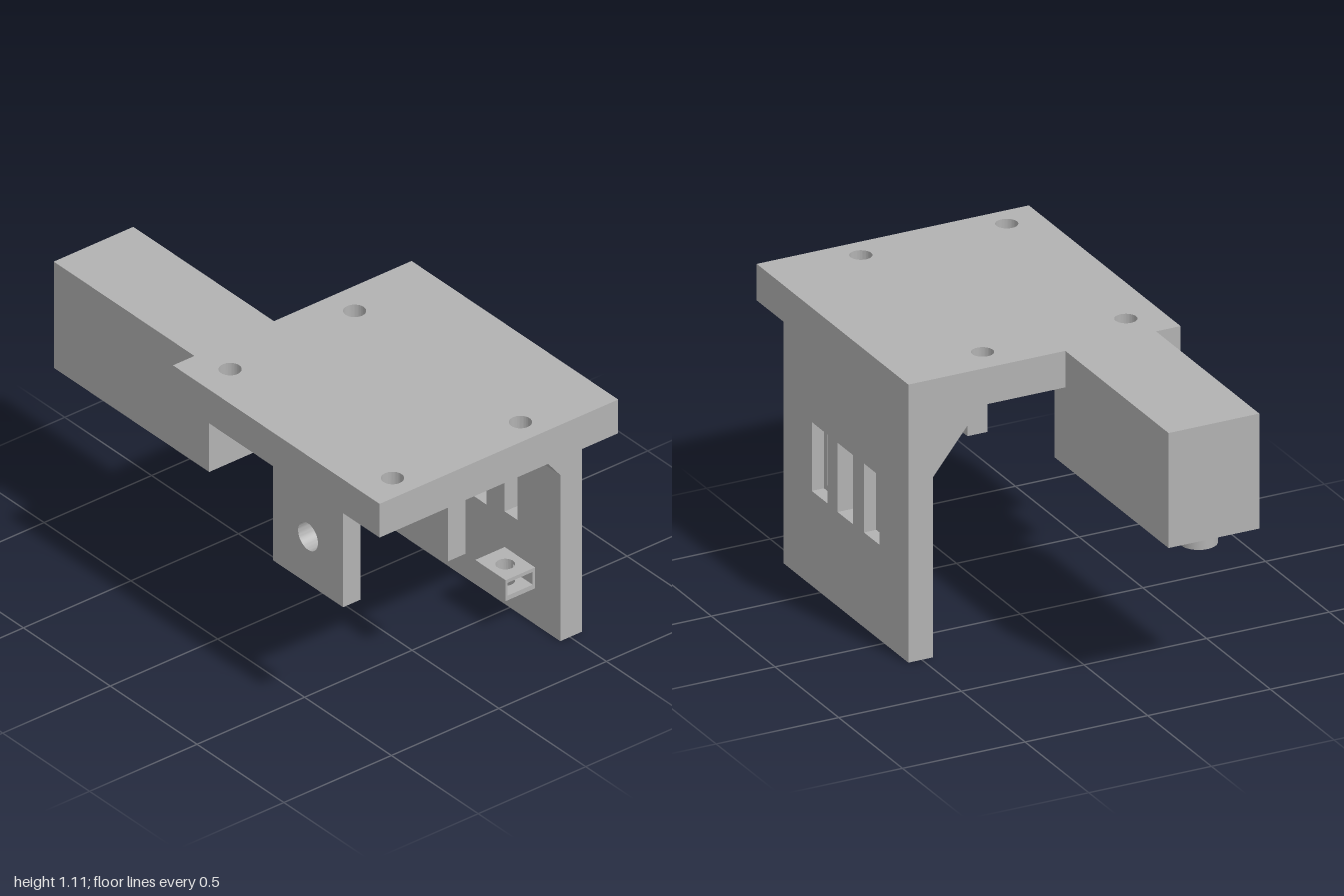
import * as THREE from 'three';
import { toCreasedNormals } from 'three/addons/utils/BufferGeometryUtils.js';

const outline = (points) => new THREE.Shape(points.map(([x, y]) => new THREE.Vector2(x, y)));
const rect = (x0, y0, x1, y1) => outline([[x0, y0], [x1, y0], [x1, y1], [x0, y1]]);
const circle = (x, y, r) => new THREE.Shape().absarc(x, y, r, 0, Math.PI * 2, false);

function extrude(shape, depth, steps = 1) {
  return new THREE.ExtrudeGeometry(shape, { depth, steps, bevelEnabled: false, curveSegments: 28 });
}

// Extrudes a shape, then widens its stepped holes level by level.
// bores: {x, y, w, h, W, H} half sizes, narrow and wide; levels: [height, isWide]
function boredPlate(shape, depth, bores, levels) {
  const steps = levels.length - 1;
  const g = extrude(shape, depth, steps);
  const p = g.attributes.position;
  for (let i = 0; i < p.count; i++) {
    const x = p.getX(i), y = p.getY(i);
    const b = bores.find((b) => Math.abs(x - b.x) < b.w + 1e-3 && Math.abs(y - b.y) < b.h + 1e-3);
    if (!b) continue;
    const [height, wide] = levels[Math.round((p.getZ(i) / depth) * steps)];
    p.setZ(i, height);
    if (wide) p.setXY(i, b.x + ((x - b.x) * b.W) / b.w, b.y + ((y - b.y) * b.H) / b.h);
  }
  g.computeVertexNormals();
  return g;
}

export function createModel() {
  const model = new THREE.Group();
  const grey = new THREE.MeshStandardMaterial({ color: 0xb2b2b2 });
  grey.name = 'plainGrey';

  const add = (name, geometry, parent = model) => {
    const mesh = new THREE.Mesh(toCreasedNormals(geometry, 0.5), grey);
    mesh.name = name;
    parent.add(mesh);
    return mesh;
  };
  // Shapes drawn in plan (x, -z) and raised from height y
  const addFlat = (name, geometry, y, parent) =>
    add(name, geometry.rotateX(-Math.PI / 2).translate(0, y, 0), parent);

  // Top plate with four screw holes countersunk from below
  const top = rect(-0.19, -0.555, 1, 0.555);
  const screws = [[-0.06, 0.185], [0.895, 0.185], [-0.04, -0.41], [0.895, -0.41]].map(
    ([x, y]) => ({ x, y, w: 0.042, h: 0.042, W: 0.081, H: 0.081 }));
  screws.forEach((s) => top.holes.push(circle(s.x, s.y, s.w)));
  addFlat('topPlate', boredPlate(top, 0.145, screws, [[0, true], [0.04, false], [0.145, false]]), 0.96);

  // Back wall: plain middle window, stepped windows on either side
  const wall = rect(-0.19, 0, 0.79, 0.96);
  wall.holes.push(rect(0.245, 0.375, 0.365, 0.65));
  const slots = [[0.0975, 0.034], [0.507, 0.037]].map(
    ([x, w]) => ({ x, y: 0.514, w, h: 0.116, W: 0.061, H: 0.137 }));
  slots.forEach((s) => wall.holes.push(rect(s.x - s.w, s.y - s.h, s.x + s.w, s.y + s.h)));
  add('backWall', boredPlate(wall, 0.1, slots,
    [[0, true], [0.05, true], [0.05, false], [0.1, false]]).translate(0, 0, -0.555));

  // Corner braces between wall and top plate
  for (const [name, x] of [['rightBrace', -0.19], ['leftBrace', 0.627]]) {
    const brace = outline([[0.455, 0.715], [0.455, 0.96], [0.26, 0.96]]);
    add(name, extrude(brace, 0.163).rotateY(Math.PI / 2).translate(x, 0, 0));
  }

  // Hanging lugs with a shared axle bore
  for (const [name, z, depth] of [['frontLug', 0.475, 0.08], ['rearLug', -0.015, 0.082]]) {
    const lug = rect(0.385, 0.555, 0.79, 0.96);
    lug.holes.push(circle(0.588, 0.758, 0.057));
    add(name, extrude(lug, depth).translate(0, 0, z));
  }

  // Side arm, its end stepped under the top plate
  const arm = outline([[-1, 0.648], [-0.105, 0.648], [-0.105, 0.96], [-0.19, 0.96], [-0.19, 1.105], [-1, 1.105]]);
  add('sideArm', extrude(arm, 0.37).translate(0, 0, 0.085));

  // Bored feet under the arm
  for (const [name, x] of [['outerBoss', -0.88], ['innerBoss', -0.513]]) {
    const boss = circle(x, -0.27, 0.07);
    boss.holes.push(circle(x, -0.27, 0.026));
    addFlat(name, extrude(boss, 0.063), 0.585);
  }

  // Nut holder: two drilled cheeks around a side pocket
  const holder = new THREE.Group();
  holder.name = 'nutHolder';
  model.add(holder);
  for (const [name, y, height] of [['holderFloor', 0.155, 0.02], ['holderRoof', 0.23, 0.015]]) {
    const cheek = rect(0.47, 0.318, 0.645, 0.455);
    cheek.holes.push(circle(0.56, 0.385, 0.036));
    addFlat(name, extrude(cheek, height), y, holder);
  }
  const pocket = outline([[0.47, 0.318], [0.645, 0.318], [0.645, 0.326], [0.56, 0.326], [0.56, 0.349]]);
  pocket.absarc(0.56, 0.385, 0.036, -Math.PI / 2, Math.PI / 2, true);
  for (const [x, y] of [[0.56, 0.444], [0.645, 0.444], [0.645, 0.455], [0.47, 0.455]]) pocket.lineTo(x, y);
  addFlat('holderPocket', extrude(pocket, 0.055), 0.175, holder);

  return model;
}
